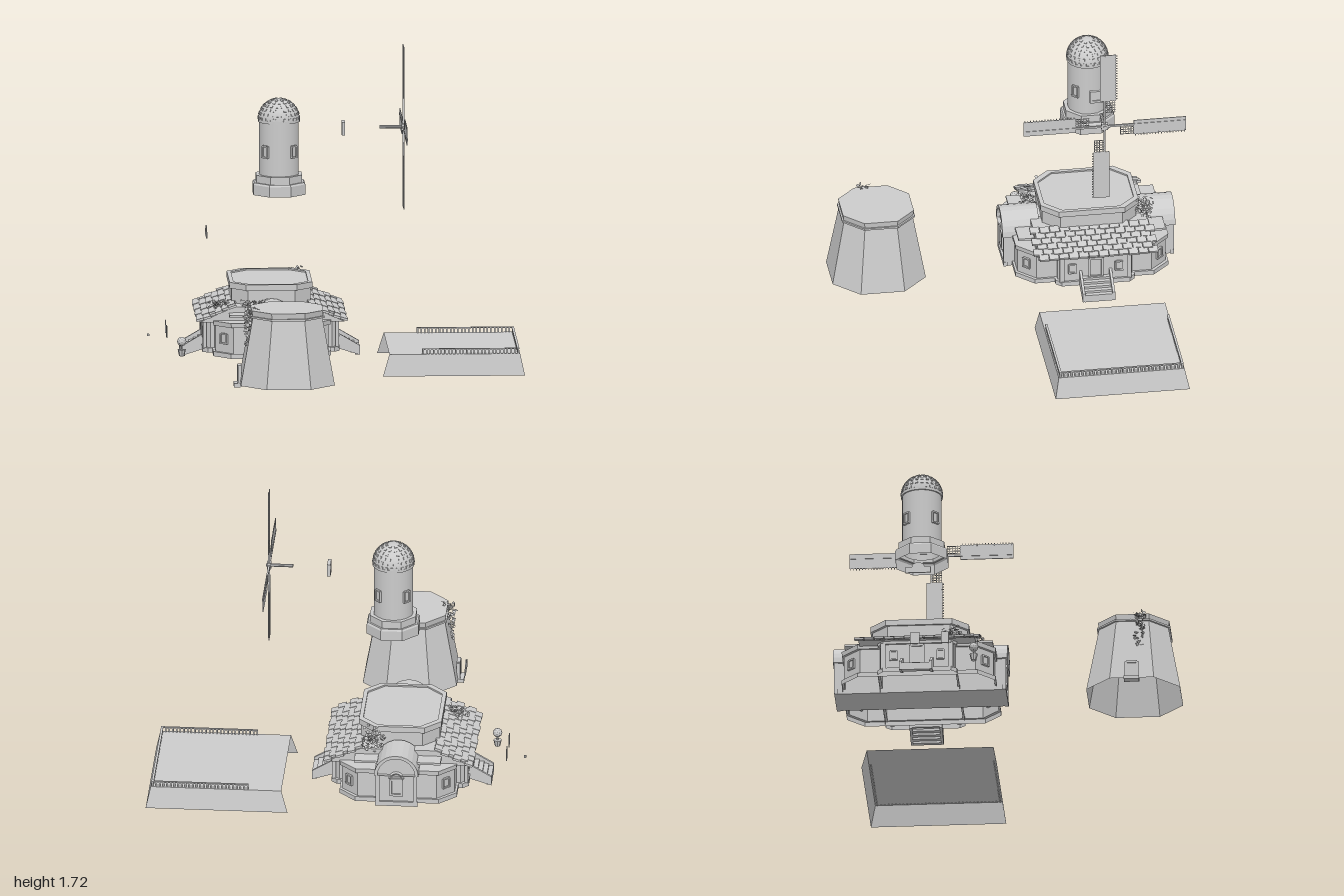
import * as THREE from 'three';
import { mergeGeometries } from 'three/addons/utils/BufferGeometryUtils.js';

const flat = new THREE.MeshStandardMaterial({ color: 0xcccccc, flatShading: true, side: THREE.DoubleSide });
const smooth = new THREE.MeshStandardMaterial({ color: 0xcccccc, side: THREE.DoubleSide });

function add(parent, name, geo, x = 0, y = 0, z = 0, mat = flat) {
  const m = new THREE.Mesh(geo, mat);
  m.name = name;
  m.position.set(x, y, z);
  parent.add(m);
  return m;
}
function group(parent, name, x = 0, y = 0, z = 0, ry = 0) {
  const g = new THREE.Group();
  g.name = name;
  g.position.set(x, y, z);
  g.rotation.y = ry;
  parent.add(g);
  return g;
}
const box = (w, h, d, x = 0, y = 0, z = 0) => new THREE.BoxGeometry(w, h, d).translate(x, y, z);

// Rectangle with cut corners, as [x, z] corners
const oct = (a, b, c) => [[a, b - c], [a - c, b], [c - a, b], [-a, b - c], [-a, c - b], [c - a, -b], [a - c, -b], [a, c - b]];

// Skin over stacked rings: each layer is [y, corners]
function loft(layers, cap = true) {
  const v = [];
  const put = (p, y) => v.push(p[0], y, p[1]);
  for (let i = 0; i + 1 < layers.length; i++) {
    const [y0, r0] = layers[i], [y1, r1] = layers[i + 1];
    r0.forEach((a, j) => {
      const k = (j + 1) % r0.length;
      put(a, y0); put(r1[k], y1); put(r0[k], y0);
      put(a, y0); put(r1[j], y1); put(r1[k], y1);
    });
  }
  if (cap) {
    const [y, r] = layers[layers.length - 1];
    r.forEach((a, j) => { put([0, 0], y); put(r[(j + 1) % r.length], y); put(a, y); });
  }
  const g = new THREE.BufferGeometry();
  g.setAttribute('position', new THREE.Float32BufferAttribute(v, 3));
  g.computeVertexNormals();
  return g;
}
function extrude(points, depth, z0 = 0) {
  const s = new THREE.Shape(points.map(p => new THREE.Vector2(...p)));
  return new THREE.ExtrudeGeometry(s, { depth, bevelEnabled: false }).translate(0, 0, z0);
}
// Framed opening facing +z
function framed(w, h, t = 0.008) {
  return mergeGeometries([
    box(w, t, 0.02, 0, h / 2), box(w + t, t, 0.024, 0, -h / 2),
    box(t, h, 0.02, -w / 2), box(t, h, 0.02, w / 2), box(w, h, 0.006)]);
}
// Patch of small leaves over a spread
let seed = 7;
const rnd = () => (seed = (seed * 16807) % 2147483647) / 2147483647;
function ivy(parent, x, y, z, sx, sy, sz, n) {
  const leaves = [];
  for (let i = 0; i < n; i++) {
    const q = (a) => (rnd() + rnd() - 1) * a;
    leaves.push(new THREE.CircleGeometry(0.011, 4).rotateX(rnd() * 3).rotateY(rnd() * 6).translate(q(sx), q(sy), q(sz)));
  }
  add(parent, 'ivy', mergeGeometries(leaves), x, y, z);
}
const arch = (r, y0, y1) => {
  const p = [[-r, y0], [r, y0]];
  for (let i = 0; i <= 12; i++) p.push([r * Math.cos(i * Math.PI / 12), y1 + r * Math.sin(i * Math.PI / 12)]);
  return p;
};

function buildLowerTower(root) {
  const g = group(root, 'lowerTower', -0.305, 0, 0.67);
  const o = (a) => oct(a, a, a * 0.53);
  add(g, 'taperedWall', loft([[0.11, o(0.25)], [0.47, o(0.185)], [0.47, o(0.195)], [0.48, o(0.195)],
    [0.48, o(0.186)], [0.51, o(0.19)]]));
  const door = group(g, 'door', -0.252, 0.15, 0, -Math.PI / 2);
  add(door, 'doorFrame', framed(0.06, 0.1, 0.012));
  add(door, 'doorStep', box(0.08, 0.02, 0.04, 0, -0.05, 0.01));
  ivy(g, -0.185, 0.49, 0.04, 0.05, 0.03, 0.05, 70);
  ivy(g, -0.21, 0.4, 0.04, 0.02, 0.1, 0.03, 40);
}

function buildTerrace(root) {
  const g = group(root, 'terrace');
  // Three sloping walls and a deck; the side toward the house stays open
  const b = [[0.24, -0.10], [0.24, -0.82], [0.995, -0.82], [0.995, -0.10]];
  const t = [[0.275, -0.12], [0.275, -0.795], [0.97, -0.795], [0.97, -0.12]];
  const v = [];
  const quad = (...c) => [0, 1, 2, 0, 2, 3].forEach(i => v.push(...c[i]));
  const lo = i => [b[i][0], 0, b[i][1]], hi = i => [t[i][0], 0.115, t[i][1]];
  for (let i = 1; i < 4; i++) quad(lo(i), hi(i), hi((i + 1) % 4), lo((i + 1) % 4));
  quad(hi(0), hi(3), hi(2), hi(1));
  const geo = new THREE.BufferGeometry();
  geo.setAttribute('position', new THREE.Float32BufferAttribute(v, 3));
  geo.computeVertexNormals();
  add(g, 'terraceWalls', geo);
  // Balustrade on three sides
  const parts = [box(0.012, 0.006, 0.655, 0.96, 0.141, -0.457)];
  for (const z of [-0.13, -0.785]) {
    parts.push(box(0.516, 0.006, 0.012, 0.708, 0.141, z));
    for (let i = 0; i <= 26; i++) parts.push(box(0.008, 0.03, 0.008, 0.454 + i * 0.0195, 0.127, z));
  }
  for (let i = 1; i < 33; i++) parts.push(box(0.008, 0.03, 0.008, 0.96, 0.127, -0.13 - i * 0.0198));
  add(g, 'balustrade', mergeGeometries(parts));
}

function buildHouse(root) {
  const g = group(root, 'house', -0.347, 0, -0.462);
  // Walls with plinth and cornice
  const wall = (a, b, c) => {
    const o = (d) => oct(a + d, b + d, c);
    return loft([[0.11, o(0.012)], [0.135, o(0.012)], [0.135, o(0)], [0.275, o(0)], [0.275, o(0.01)], [0.3, o(0.012)]]);
  };
  add(g, 'mainWalls', wall(0.3, 0.398, 0.09));
  add(g, 'sideWalls', wall(0.353, 0.2, 0.03));
  // Roof core and running-bond shingles
  add(g, 'roofCore', extrude([[-0.385, 0.29], [0.385, 0.29], [0.2, 0.372], [-0.2, 0.372]], 0.62, -0.31));
  const tiles = [], tilt = Math.atan2(0.085, 0.2);
  for (const s of [-1, 1]) for (let r = 0; r < 6; r++) {
    for (let i = 0; i < 12; i++) {
      const w = 0.0533, z = -0.3 + i * w + (r % 2 ? 0.0133 : -0.0133);
      const drop = (i * 7 + r * 5) % 3 * 0.003;
      tiles.push(new THREE.BoxGeometry(0.043, 0.012, w - 0.003).rotateZ(-s * (tilt - 0.1))
        .translate(s * (0.375 - r * 0.033 + drop), 0.303 + r * 0.0142, z + 0.007));
    }
  }
  add(g, 'roofShingles', mergeGeometries(tiles));
  for (const s of [-1, 1]) add(g, 'endRoof', box(0.46, 0.012, 0.1, 0, 0.335, s * 0.345)).rotation.x = 0;
  // Vaulted cross wing with arched ends
  add(g, 'vaultWing', extrude(arch(0.105, 0.11, 0.29), 0.89, -0.445));
  const rim = new THREE.Shape(arch(0.118, 0.29, 0.29).map(p => new THREE.Vector2(...p)));
  rim.holes.push(new THREE.Path(arch(0.1, 0.291, 0.291).map(p => new THREE.Vector2(...p))));
  for (const s of [-1, 1]) {
    add(g, 'vaultRoof', new THREE.ExtrudeGeometry(rim, { depth: 0.2, bevelEnabled: false }), 0, 0, s < 0 ? -0.464 : 0.264);
    const end = group(g, 'wingEnd', 0, 0, s * 0.447, s < 0 ? Math.PI : 0);
    add(end, 'wingWindow', framed(0.06, 0.09, 0.012), 0, 0.22, 0);
    add(end, 'windowArch', new THREE.TorusGeometry(0.033, 0.008, 4, 10, Math.PI), 0, 0.27, 0.004);
    add(end, 'wingPlinth', box(0.225, 0.025, 0.02), 0, 0.123, 0);
    for (const x of [-0.1, 0.1]) add(end, 'wingPilaster', box(0.02, 0.18, 0.02), x, 0.2, 0);
  }
  // Windows, pilasters, doors and stairs, mirrored left and right
  for (const s of [-1, 1]) {
    const side = group(g, s < 0 ? 'rightSide' : 'leftSide');
    side.scale.x = s;
    for (const t of [-1, 1]) {
      add(side, 'sideWindow', framed(0.036, 0.05), 0.353, 0.21, t * 0.125).rotation.y = Math.PI / 2;
      add(side, 'cornerWindow', framed(0.04, 0.05), 0.256, 0.21, t * 0.354).rotation.y = t > 0 ? Math.PI / 4 : Math.PI * 0.75;
      add(side, 'pilaster', box(0.02, 0.15, 0.025), 0.352, 0.205, t * 0.18);
      add(side, 'stairWall', extrude([[0.35, 0.11], [0.478, 0.07], [0.478, 0.12], [0.35, 0.195]], 0.014, -0.007), 0, 0, t * 0.08);
    }
    add(side, 'sideDoor', framed(0.07, 0.11, 0.012), 0.354, 0.21, 0).rotation.y = Math.PI / 2;
    const steps = [];
    for (let i = 0; i < 5; i++) steps.push(box(0.026, 0.04, 0.15, 0.365 + i * 0.025, 0.137 - i * 0.012, 0));
    add(side, 'stairSteps', mergeGeometries(steps));
  }
  // Raised octagonal drum
  const d = (e) => oct(0.21 + e, 0.252 + e, 0.085);
  add(g, 'drum', loft([[0.34, d(0)], [0.45, d(0)], [0.45, d(0.01)], [0.482, d(0.01)], [0.482, d(-0.012)], [0.474, d(-0.012)]]));
  ivy(g, -0.26, 0.365, 0.18, 0.08, 0.025, 0.05, 90);
  ivy(g, -0.09, 0.38, 0.3, 0.09, 0.03, 0.05, 110);
  ivy(g, 0.14, 0.42, -0.29, 0.07, 0.07, 0.05, 110);
}

function buildDomeTower(root) {
  const g = group(root, 'domeTower', -0.297, 0, -0.463);
  const o = (a) => oct(a, a, a * 0.586);
  add(g, 'octagonalSkirt', loft([[0.93, o(0.138)], [0.985, o(0.138)], [0.995, o(0.132)], [0.995, o(0.122)], [1.035, o(0.122)], [1.035, o(0.1)]], false));
  add(g, 'shaftWall', new THREE.CylinderGeometry(0.105, 0.105, 0.33, 24, 1, true), 0, 1.165, 0, smooth);
  add(g, 'domeBand', new THREE.CylinderGeometry(0.112, 0.112, 0.015, 24), 0, 1.325, 0);
  add(g, 'dome', new THREE.SphereGeometry(0.11, 24, 10, 0, Math.PI * 2, 0, Math.PI / 2), 0, 1.33, 0, smooth);
  // Rings of raised tiles on the dome
  const studs = [];
  for (let r = 0; r < 6; r++) {
    const e = 0.08 + r * 0.23, n = Math.max(5, Math.round(24 * Math.cos(e)));
    for (let i = 0; i < n; i++) studs.push(box(0.014, 0.014, 0.006, 0, 0, 0.11).rotateX(-e).rotateY((i + r % 2 / 2) / n * Math.PI * 2));
  }
  add(g, 'domeTiles', mergeGeometries(studs), 0, 1.33, 0);
  for (let i = 0; i < 4; i++) {
    const a = Math.PI / 4 + i * Math.PI / 2;
    add(g, 'towerWindow', framed(0.034, 0.06), 0.104 * Math.sin(a), 1.165, 0.104 * Math.cos(a)).rotation.y = a;
  }
}

function buildSails(root) {
  const g = group(root, 'sails', 0.365, 1.283, -0.457);
  add(g, 'axle', new THREE.CylinderGeometry(0.009, 0.009, 0.145, 8).rotateZ(Math.PI / 2), -0.055, 0, 0);
  add(g, 'hub', box(0.022, 0.035, 0.035));
  for (let k = 0; k < 4; k++) {
    const sail = group(g, 'sail');
    sail.rotation.x = k * Math.PI / 2;
    const frame = [box(0.01, 0.43, 0.01, 0, 0.215, 0)];
    // Bare lattice near the hub
    for (let i = 0; i < 6; i++) frame.push(box(0.003, 0.003, 0.055, 0, 0.085 + i * 0.014, -0.03));
    for (let i = 1; i < 5; i++) frame.push(box(0.003, 0.085, 0.003, 0, 0.125, -i * 0.0137));
    // Bar ends along the trailing edge
    for (let i = 0; i < 18; i++) frame.push(box(0.005, 0.004, 0.014, 0, 0.165 + i * 0.0155, -0.061));
    add(sail, 'sailFrame', mergeGeometries(frame));
    add(sail, 'sailCloth', box(0.004, 0.28, 0.085, 0, 0.296, -0.018));
  }
}

function buildLooseParts(root) {
  const g = group(root, 'looseParts');
  add(g, 'windowFrame', mergeGeometries([box(0.018, 0.014, 0.07, 0, 0.028), box(0.018, 0.014, 0.07, 0, -0.028),
    box(0.018, 0.07, 0.014, 0, 0, 0.028), box(0.018, 0.07, 0.014, 0, 0, -0.028), box(0.006, 0.06, 0.06)]), 0.045, 1.28, -0.46);
  const ped = [[-0.067, 0], [0.067, 0], [0.067, 0.034], [0.036, 0.034]];
  for (let i = 0; i <= 8; i++) ped.push([0.034 * Math.cos(i * Math.PI / 8), 0.034 + 0.026 * Math.sin(i * Math.PI / 8)]);
  ped.push([-0.036, 0.034], [-0.067, 0.034]);
  add(g, 'archedPediment', extrude(ped, 0.006, -0.003), -0.683, 0.7, -0.457).rotation.y = Math.PI / 2;
  for (const [z, w] of [[-0.46, 0.05], [-0.3, 0.04]]) add(g, 'shutter', box(0.004, 0.065, w), -0.9, 0.217, z);
  add(g, 'doorKnob', box(0.012, 0.012, 0.012), -0.994, 0.18, -0.41);
  // Potted round shrub
  add(g, 'shrub', new THREE.IcosahedronGeometry(0.025, 1), -0.827, 0.188, -0.152);
  add(g, 'shrubStem', new THREE.CylinderGeometry(0.005, 0.005, 0.03, 6), -0.827, 0.155, -0.152);
  add(g, 'pot', new THREE.CylinderGeometry(0.022, 0.014, 0.035, 8), -0.827, 0.128, -0.152);
}

export function createModel() {
  const root = new THREE.Group();
  root.name = 'windmillKit';
  [buildLowerTower, buildTerrace, buildHouse, buildDomeTower, buildSails, buildLooseParts].forEach(f => f(root));
  return root;
}
